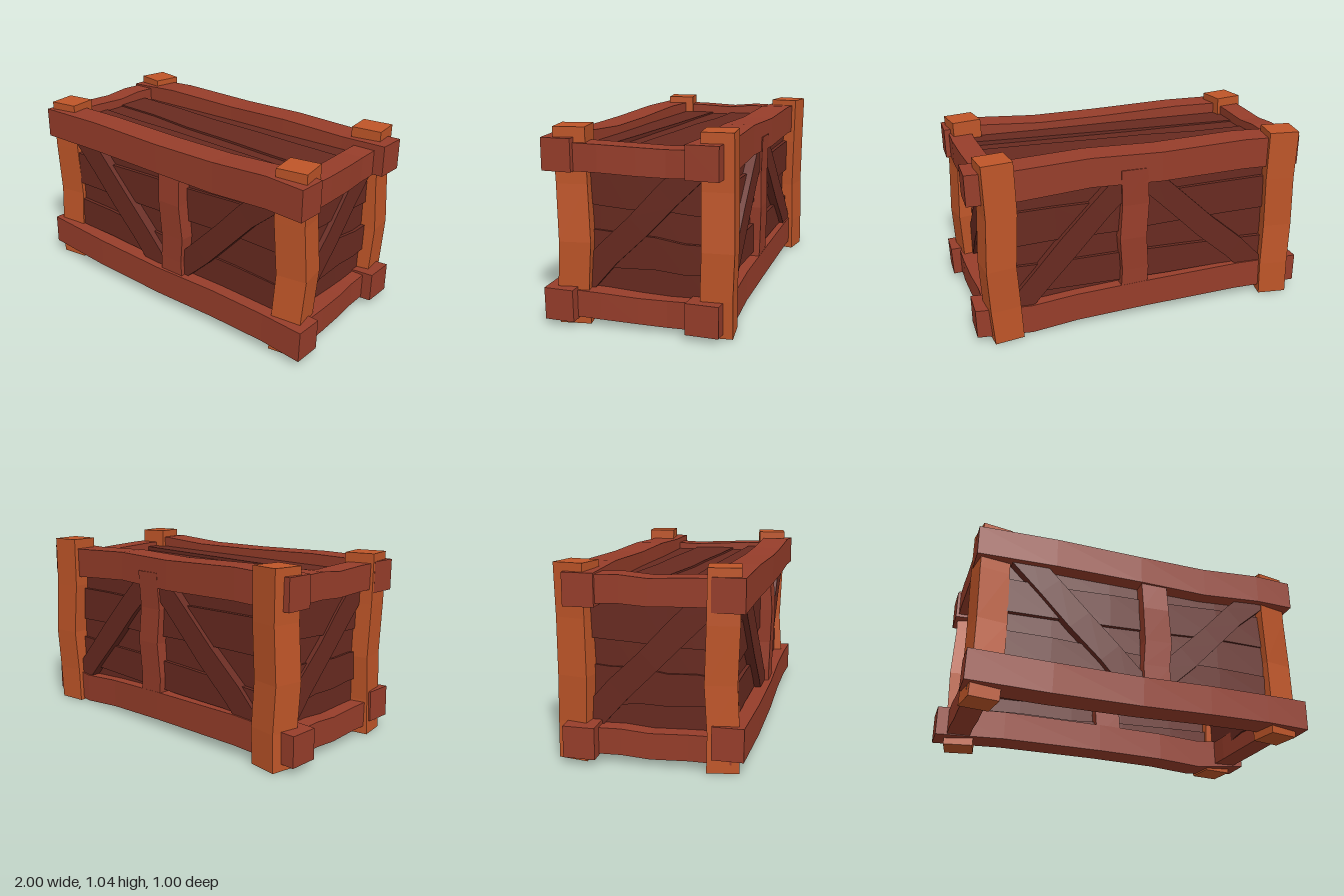
import * as THREE from 'three';

const mat = (name, color) => {
  const m = new THREE.MeshStandardMaterial({ color, flatShading: true });
  m.name = name;
  return m;
};

// small seeded random, -1..1
let seed = 11;
const rnd = () => {
  seed = (seed * 16807) % 2147483647;
  return (seed / 2147483647) * 2 - 1;
};

// bent timber: rectangular sections at every point, w0 to w1 wide along axis a, d deep
function timber(points, a, [w0, w1], d, jitter = 0.025) {
  const P = points.map((p) => new THREE.Vector3(...p));
  const dir = P[P.length - 1].clone().sub(P[0]).normalize();
  const A = new THREE.Vector3(...a);
  A.addScaledVector(dir, -A.dot(dir)).normalize();
  const B = dir.clone().cross(A);
  const rings = P.map((p, i) => {
    const w = w0 + ((w1 - w0) * i) / (P.length - 1);
    const hw = (w / 2) * (1 + jitter * rnd());
    const hd = (d / 2) * (1 + jitter * rnd());
    return [[1, 1], [-1, 1], [-1, -1], [1, -1]].map(([s, t]) =>
      p.clone().addScaledVector(A, s * hw).addScaledVector(B, t * hd));
  });
  const pos = [];
  const quad = (p, q, r, s) => [p, q, r, p, r, s].forEach((v) => pos.push(v.x, v.y, v.z));
  for (let i = 0; i < rings.length - 1; i++) {
    for (let j = 0; j < 4; j++) {
      const k = (j + 1) % 4;
      quad(rings[i][j], rings[i][k], rings[i + 1][k], rings[i + 1][j]);
    }
  }
  quad(...rings[rings.length - 1]);
  quad(...rings[0].slice().reverse());
  const g = new THREE.BufferGeometry();
  g.setAttribute('position', new THREE.Float32BufferAttribute(pos, 3));
  g.computeVertexNormals();
  return g;
}

// points between two ends, each inner one shifted a little along axis a
function wavy(from, to, a, amount, n = 4) {
  return Array.from({ length: n + 1 }, (_, i) => {
    const s = i > 0 && i < n ? rnd() * amount : 0;
    return from.map((v, k) => v + ((to[k] - v) * i) / n + a[k] * s);
  });
}

export function createModel() {
  const group = new THREE.Group();
  group.name = 'crate';
  const postMat = mat('orange wood', 0xbe5528);
  const railMat = mat('red brown wood', 0x963d2a);
  const plankMat = mat('dark wood', 0x682a20);
  const add = (name, geo, material) => {
    const m = new THREE.Mesh(geo, material);
    m.name = name;
    group.add(m);
  };
  const X = [1, 0, 0], Y = [0, 1, 0], Z = [0, 0, 1];

  // corner posts: x, z, turn, height, mid bend in x and z
  [
    ['frontRightPost', -0.845, 0.365, -0.17, 1.03, 0.005, -0.015],
    ['frontLeftPost', 0.855, 0.365, -0.18, 1.04, 0.012, -0.02],
    ['backRightPost', -0.84, -0.4, 0.17, 1.03, -0.01, 0.01],
    ['backLeftPost', 0.815, -0.4, -0.12, 1.04, 0.015, -0.01],
  ].forEach(([name, x, z, turn, h, bx, bz]) => {
    const pts = [[x - 0.008, 0, z], [x + bx * 0.2, 0.2, z], [x + bx, 0.45, z + bz],
      [x - bx * 0.3, 0.75, z + bz * 0.3], [x, h, z]];
    add(name, timber(pts, [Math.cos(turn), 0, Math.sin(turn)], [0.168, 0.168], 0.165, 0.015), postMat);
  });

  // long rails
  const rail = [0.17, 0.17];
  add('frontTopRail', timber([[-0.94, 0.9, 0.4], [-0.5, 0.905, 0.405], [0, 0.895, 0.405],
    [0.4, 0.89, 0.4], [0.75, 0.91, 0.405], [0.97, 0.9, 0.41]], Y, rail, 0.165), railMat);
  add('backTopRail', timber([[-0.95, 0.9, -0.355], [-0.6, 0.915, -0.36], [-0.1, 0.905, -0.365],
    [0.3, 0.915, -0.355], [0.7, 0.895, -0.36], [0.97, 0.9, -0.355]], Y, rail, 0.17), railMat);
  add('frontBottomRail', timber([[-0.95, 0.16, 0.405], [-0.5, 0.14, 0.41], [0, 0.13, 0.41],
    [0.4, 0.135, 0.405], [0.75, 0.13, 0.405], [0.995, 0.117, 0.41]], Y, rail, 0.165), railMat);
  add('backBottomRail', timber([[-1, 0.12, -0.355], [-0.6, 0.135, -0.36], [0, 0.125, -0.36],
    [0.4, 0.11, -0.355], [0.66, 0.09, -0.36], [0.97, 0.115, -0.355]], Y, rail, 0.17), railMat);

  // short end rails: x at the front and at the back, lift of the top one
  for (const [side, xf, xb, lift] of [['left', 0.878, 0.845, 0], ['right', -0.862, -0.868, 0.017]]) {
    for (const [name, y] of [['TopRail', 0.88 + lift], ['BottomRail', 0.107]]) {
      const pts = [[xf, y + 0.01, 0.42], [xf, y + 0.008, 0.2], [(xf + xb) / 2, y, 0],
        [xb, y - 0.005 + lift, -0.15], [xb, y + 0.005, -0.42]];
      add(side + name, timber(pts, Y, [0.142, 0.142], 0.13, 0.02), railMat);
    }
  }

  // one row of planks between seams; place(t, v, out) gives a point at end t (-1 or 1)
  const planks = (name, seams, across, overlap, place) => {
    for (let i = 0; i < seams.length - 1; i++) {
      const [a, b] = seams[i], [c, d] = seams[i + 1];
      const out = (i % 2) * 0.02;
      const pts = wavy(place(-1, (a + c) / 2, out + rnd() * 0.008), place(1, (b + d) / 2, out + rnd() * 0.008), across, 0.01, 5);
      add(name, timber(pts, across, [c - a + overlap, d - b + overlap], 0.05, 0.03), plankMat);
    }
  };
  const wall = [[0.14, 0.15], [0.25, 0.22], [0.4, 0.35], [0.54, 0.57], [0.71, 0.74], [0.87, 0.87]];
  const end = [[0.14, 0.14], [0.3, 0.33], [0.49, 0.45], [0.66, 0.62], [0.86, 0.86]];
  const lid = [[-0.36, -0.36], [-0.195, -0.13], [-0.02, 0.09], [0.14, 0.225], [0.37, 0.37]];
  planks('frontPlank', wall, Y, 0.028, (t, v, o) => [0.83 * t, v, 0.37 + o]);
  planks('backPlank', wall, Y, 0.028, (t, v, o) => [-0.83 * t, v, -0.36 - o]);
  planks('leftPlank', end, Y, 0.028, (t, v, o) => [0.815 + o, v, -0.38 * t]);
  planks('rightPlank', end, Y, 0.028, (t, v, o) => [-0.815 - o, v, 0.38 * t]);
  planks('lidPlank', lid, Z, 0.03, (t, v, o) => [0.82 * t, 0.885 + o, v]);

  // upright in the middle of each long wall
  add('frontUpright', timber([[0.09, 0.12, 0.395], [0.085, 0.3, 0.395], [0.098, 0.45, 0.4],
    [0.085, 0.65, 0.405], [0.08, 0.88, 0.39]], X, [0.155, 0.155], 0.16), railMat);
  add('backUpright', timber([[0.06, 0.12, -0.36], [0.05, 0.3, -0.365], [0.065, 0.5, -0.37],
    [0.05, 0.7, -0.365], [0.06, 0.91, -0.374]], X, [0.155, 0.155], 0.16), railMat);

  // diagonal braces: V on the front, inverted V on the back
  const brace = (name, from, to, across, w = 0.135) =>
    add(name, timber(wavy(from, to, across, 0.008), across, [w, w], 0.06, 0.04), plankMat);
  brace('frontBrace', [-0.7, 0.88, 0.42], [-0.01, 0.17, 0.42], [1, 1, 0], 0.15);
  brace('frontBrace', [0.76, 0.86, 0.42], [0.13, 0.25, 0.42], [1, -1, 0]);
  brace('backBrace', [0.76, 0.14, -0.405], [0.08, 0.86, -0.405], [1, 1, 0]);
  brace('backBrace', [-0.76, 0.14, -0.405], [0.0, 0.86, -0.405], [1, -1, 0]);
  brace('leftBrace', [0.842, 0.2, 0.34], [0.842, 0.87, -0.31], [0, 1, 1]);
  brace('rightBrace', [-0.842, 0.2, -0.34], [-0.842, 0.87, 0.31], [0, 1, -1]);

  return group;
}
